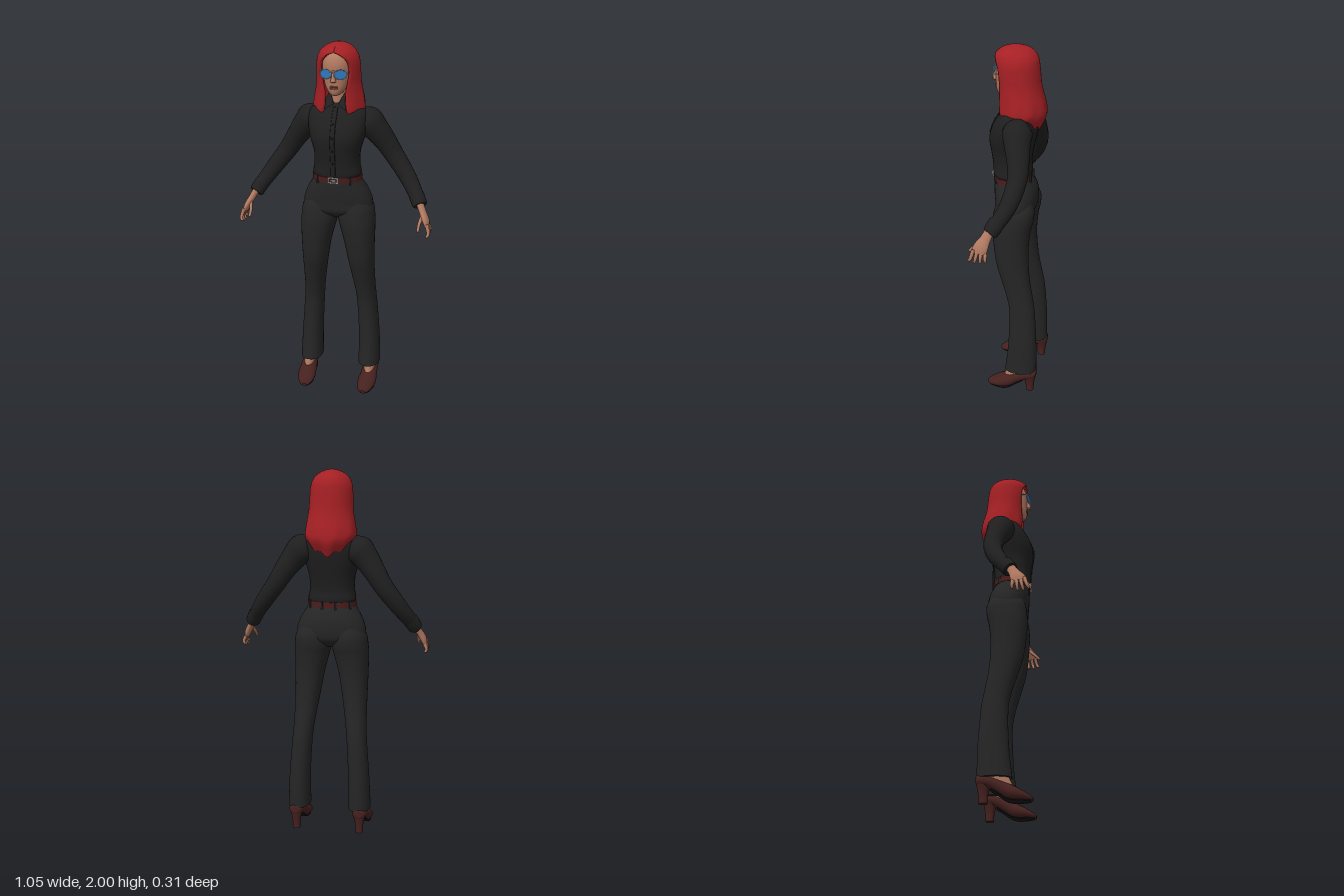
import * as THREE from 'three';

const mat = (name, color, side = THREE.FrontSide) => {
  const m = new THREE.MeshStandardMaterial({ color, side });
  m.name = name;
  return m;
};
const V = (x, y, z) => new THREE.Vector3(x, y, z);
const Y = V(0, 1, 0), Z = V(0, 0, 1);

// Adds smooth in-between rows to a list of number rows
function smooth(rows, k = 4) {
  const out = [], at = i => rows[Math.min(Math.max(i, 0), rows.length - 1)];
  for (let i = 0; i < rows.length - 1; i++) for (let s = 0; s < k; s++) {
    const t = s / k, [a, b, c, d] = [at(i - 1), at(i), at(i + 1), at(i + 2)];
    out.push(b.map((q, j) => q + 0.5 * t * (c[j] - a[j] + t * (2 * a[j] - 5 * q + 4 * c[j] - d[j]
      + t * (3 * (q - c[j]) + d[j] - a[j])))));
  }
  out.push(rows[rows.length - 1]);
  return out;
}

// Skins closed rings of points and caps both ends
function loft(rings) {
  const n = rings[0].length, pts = rings.flat(), idx = [];
  for (let i = 0; i < rings.length - 1; i++) for (let j = 0; j < n; j++) {
    const a = i * n + j, b = i * n + (j + 1) % n;
    idx.push(a, b, b + n, a, b + n, a + n);
  }
  for (const end of [0, rings.length - 1]) {
    const ring = rings[end], s = pts.length;
    const mid = ring.reduce((m, p) => m.add(p), V(0, 0, 0)).divideScalar(n);
    pts.push(...ring, mid);
    for (let j = 0; j < n; j++) {
      const a = s + j, b = s + (j + 1) % n;
      idx.push(s + n, ...(end ? [a, b] : [b, a]));
    }
  }
  const g = new THREE.BufferGeometry().setFromPoints(pts);
  g.setIndex(idx);
  g.computeVertexNormals();
  return g;
}

// Oval sections [x, y, z, ru, rv] along a path; fixed direction or following it
function sweep(rows, ref = Z, dir = null, n = 20, e = 1) {
  const c = rows.map(r => V(r[0], r[1], r[2]));
  return loft(rows.map((r, i) => {
    const t = dir || c[Math.min(i + 1, c.length - 1)].clone().sub(c[Math.max(i - 1, 0)]).normalize();
    const v = ref.clone().addScaledVector(t, -ref.dot(t)).normalize(), u = v.clone().cross(t);
    const pw = q => Math.sign(q) * Math.abs(q) ** e;
    return Array.from({ length: n }, (_, j) => {
      const a = j / n * Math.PI * 2;
      return c[i].clone().addScaledVector(u, r[3] * pw(Math.cos(a))).addScaledVector(v, r[4] * pw(Math.sin(a)));
    });
  }));
}

// Level sections [y, x, half width, z front, z back], bottom to top
const stack = (rows, e = 1, n = 32, k = 4) => sweep(
  smooth(rows, k).map(([y, x, w, f, b]) => [x, y, (f + b) / 2, w, (f - b) / 2]), Z, Y, n, e);

// Thick shell open at the front: [y, half width, z front, z back, half opening angle]
function openShell(rows, inner, warp = () => [1, 0]) {
  const n = 48;
  return loft(smooth(rows).map(([y, w, f, b, open]) => {
    const point = (j, s) => {
      const o = Math.max(open, 0), a = o + (Math.PI - o) * 2 * j / n, [m, dy] = warp(a, y);
      return V(Math.sin(a) * w * s * m, y + dy, (f + b) / 2 + Math.cos(a) * (f - b) / 2 * s * m);
    };
    const out = [], back = [];
    for (let j = 0; j <= n; j++) {
      out.push(point(j, 1));
      back.unshift(point(j, inner));
    }
    return [...out, ...back];
  }));
}

function mirrored(g) {
  const m = g.clone().scale(-1, 1, 1), a = m.index.array;
  for (let i = 0; i < a.length; i += 3) [a[i], a[i + 1]] = [a[i + 1], a[i]];
  return m;
}

export function createModel() {
  const model = new THREE.Group();
  const shirt = mat('black shirt', 0x1f1f20, THREE.DoubleSide), trousers = mat('charcoal trousers', 0x252525);
  const skin = mat('skin', 0xb07860), hairRed = mat('red hair', 0xa52024, THREE.DoubleSide);
  const leather = mat('dark brown leather', 0x45211f), beltRed = mat('belt brown', 0x4c1c1a);
  const metal = mat('silver metal', 0xb4b4b4), lensBlue = mat('blue lens', 0x2f78bd, THREE.DoubleSide);
  const lipColor = mat('lips', 0x8f5148), black = mat('sole black', 0x151515);

  const add = (name, g, m) => {
    const mesh = new THREE.Mesh(g, m);
    mesh.name = name;
    model.add(mesh);
  };
  const pair = (name, g, m) => {
    add('left ' + name, g, m);
    add('right ' + name, mirrored(g), m);
  };
  const box = (w, h, d, x, y, z, ry = 0) => new THREE.BoxGeometry(w, h, d).rotateY(ry).translate(x, y, z);
  const ball = (rx, ry, rz, x, y, z) => new THREE.SphereGeometry(1, 16, 12).scale(rx, ry, rz).translate(x, y, z);

  // Shirt body, front strip and buttons
  const torso = [[1.285, 0, .12, .112, -.075], [1.31, 0, .13, .122, -.085], [1.36, 0, .122, .123, -.08],
    [1.43, 0, .125, .133, -.09], [1.5, 0, .145, .141, -.105], [1.56, 0, .158, .128, -.115],
    [1.61, 0, .16, .102, -.115], [1.645, 0, .148, .078, -.105], [1.67, 0, .11, .06, -.09],
    [1.69, 0, .068, .045, -.072], [1.705, 0, .048, .032, -.06]];
  add('shirt body', stack(torso, .85), shirt);
  add('shirt front strip', sweep(smooth(torso.slice(1, 9)).map(r => [0, r[0], r[3], .013, .005]), Z, Y, 10), shirt);
  for (const [y, z] of [[1.38, .131], [1.45, .141], [1.52, .144], [1.59, .118]])
    add('shirt button', ball(.005, .005, .003, 0, y, z), black);

  // Collar stand and pointed flaps
  add('collar', openShell([[1.665, .08, .058, -.085, .12], [1.7, .062, .052, -.074, .35], [1.735, .055, .036, -.062, .8]], .9), shirt);
  const flap = new THREE.BufferGeometry().setFromPoints([V(.012, 1.685, .063), V(.055, 1.66, .084), V(.062, 1.70, .05), V(.044, 1.738, .02)]);
  flap.setIndex([0, 1, 2, 0, 2, 3]);
  flap.computeVertexNormals();
  pair('collar flap', flap, shirt);

  // Sleeves and cuffs
  pair('sleeve', sweep(smooth([[.1, 1.62, -.035, .04], [.15, 1.585, -.035, .078], [.2, 1.53, -.045, .068],
    [.25, 1.46, -.06, .058], [.295, 1.39, -.065, .052], [.35, 1.315, -.05, .048], [.4, 1.245, -.02, .043],
    [.45, 1.17, .032, .037]].map(r => [...r, r[3]]))), shirt);
  pair('cuff', sweep([[.426, 1.21, .006, .036, .038], [.43, 1.203, .011, .042, .044], [.455, 1.16, .038, .04, .042], [.458, 1.155, .042, .034, .036]]), shirt);

  // Hands with four fingers and a thumb
  pair('palm', sweep(smooth([[.448, 1.18, .035, .02, .025], [.474, 1.13, .06, .018, .028],
    [.495, 1.09, .08, .018, .039], [.506, 1.06, .09, .012, .038]])), skin);
  const digit = (a, b, c) => sweep(smooth([[...a, .011, .011], [...b, .009, .009], [...c, .007, .007],
    [...c.map((q, i) => q + (q - b[i]) * .15), .003, .003]], 3), Z, null, 10);
  for (const k of [-1.5, -.5, .5, 1.5])
    pair('finger', digit([.505, 1.07 + .006 * k, .086 + .02 * k], [.518, 1.035, .091 + .025 * k],
      [.511, 1.005 + .008 * Math.abs(k), .096 + .029 * k]), skin);
  pair('thumb', digit([.478, 1.115, .08], [.466, 1.08, .115], [.465, 1.05, .145]), skin);

  // Trousers: hips and flared legs
  add('trouser hips', stack([[1.05, 0, .1, .05, -.06], [1.09, 0, .18, .1, -.105], [1.14, 0, .19, .108, -.116],
    [1.2, 0, .171, .114, -.112], [1.25, 0, .142, .115, -.092], [1.27, 0, .13, .114, -.08], [1.295, 0, .125, .111, -.075]], .9), trousers);
  const legRows = [[.13, .11, .233, .03, -.15], [.3, .11, .226, .012, -.148], [.5, .1, .211, .008, -.135],
    [.6, .09, .204, .025, -.12], [.7, .075, .202, .055, -.102], [.8, .058, .202, .085, -.092], [.9, .04, .204, .1, -.09],
    [1, .014, .206, .109, -.1], [1.06, 0, .203, .108, -.113], [1.12, .004, .192, .1, -.115], [1.18, .03, .15, .08, -.09]];
  pair('trouser leg', stack(legRows.map(([y, a, b, f, k]) => [y, (a + b) / 2, (b - a) / 2, f, k]), .92), trousers);

  // Belt, loops and buckle
  add('belt', stack([[1.269, 0, .133, .12, -.084], [1.298, 0, .133, .122, -.084]], .9, 40, 1), beltRed);
  for (const a of [.75, 2.2, 2.85])
    pair('belt loop', box(.012, .045, .01, Math.sin(a) * .134, 1.28, .018 + Math.cos(a) * .106, a), trousers);
  for (const s of [-1, 1]) {
    add('buckle bar', box(.056, .006, .008, 0, 1.284 + s * .013, .125), metal);
    add('buckle side', box(.007, .03, .008, s * .025, 1.284, .125), metal);
  }
  add('buckle prong', box(.03, .007, .008, 0, 1.284, .126), metal);

  // Feet and heeled shoes
  pair('foot', stack([[.085, .18, .033, .035, -.12], [.13, .18, .034, .015, -.125], [.2, .18, .034, -.02, -.12]], 1, 20), skin);
  const shoe = smooth([[.18, .12, -.152, .016, .018], [.18, .116, -.142, .034, .03], [.181, .11, -.1, .042, .034],
    [.181, .09, -.05, .043, .041], [.181, .06, 0, .048, .045], [.18, .046, .04, .052, .041],
    [.177, .035, .08, .047, .03], [.175, .024, .115, .032, .018], [.174, .02, .132, .012, .009]]);
  pair('shoe', sweep(shoe, Y, Z), leather);
  pair('shoe sole', sweep(shoe.slice(10, -2).map(([x, y, z, w, h]) => [x, y - h + .005, z, w * .8, .006]), Y, Z), black);
  pair('shoe heel', stack([[0, .18, .021, -.094, -.137], [.05, .18, .023, -.09, -.141], [.105, .18, .036, -.07, -.151]], .8, 20), leather);

  // Neck, head and facial features
  add('neck', stack([[1.66, 0, .05, .05, -.065], [1.7, 0, .045, .045, -.06], [1.78, 0, .045, .04, -.06]]), skin);
  add('head', stack([[1.735, 0, .018, .09, .04], [1.745, 0, .034, .1, .005], [1.77, 0, .053, .106, -.03],
    [1.8, 0, .066, .107, -.06], [1.85, 0, .077, .107, -.085], [1.9, 0, .078, .106, -.09],
    [1.94, 0, .064, .088, -.075], [1.97, 0, .03, .045, -.04]], .95), skin);
  add('nose', sweep(smooth([[0, 1.808, .108, .008, .006], [0, 1.815, .115, .015, .015], [0, 1.835, .111, .01, .013],
    [0, 1.87, .102, .008, .008]]), Z, Y, 14), skin);
  for (const [y, h] of [[1.785, .005], [1.777, .006]]) add('lip', ball(.022, h, .008, 0, y, .104), lipColor);

  // Sunglasses
  const place = g => g.scale(.033, .025, .033).rotateY(.3).translate(.039, 1.853, .117);
  pair('lens', place(new THREE.CircleGeometry(1, 28)), lensBlue);
  pair('lens frame', place(new THREE.TorusGeometry(1, .07, 8, 28)), metal);
  add('glasses bridge', box(.018, .005, .005, 0, 1.862, .126), metal);
  pair('glasses temple', box(.004, .005, .1, .077, 1.862, .055, -.08), metal);

  // Long hair framing the face, wavy and pointed at the back
  const hairRows = [[1.6, .122, .085, -.125, .66], [1.65, .138, .094, -.158, .5], [1.7, .134, .095, -.154, .46],
    [1.75, .125, .095, -.14, .5], [1.8, .118, .1, -.13, .64], [1.85, .116, .11, -.125, .76], [1.9, .113, .116, -.12, .73],
    [1.93, .106, .117, -.115, .56], [1.95, .096, .112, -.106, .3], [1.962, .087, .103, -.098, 0],
    [1.982, .062, .078, -.076, 0], [1.995, .03, .04, -.04, 0], [2, .004, .006, -.006, 0]];
  add('hair', openShell(hairRows, .88, (a, y) => {
    const k = Math.min(Math.max((1.78 - y) / .18, 0), 1), back = Math.max(0, -Math.cos(a));
    return [1 + .025 * k * Math.cos(9 * a), k * k * (.012 * Math.cos(9 * a) - .04 * back ** 4)];
  }), hairRed);

  return model;
}
